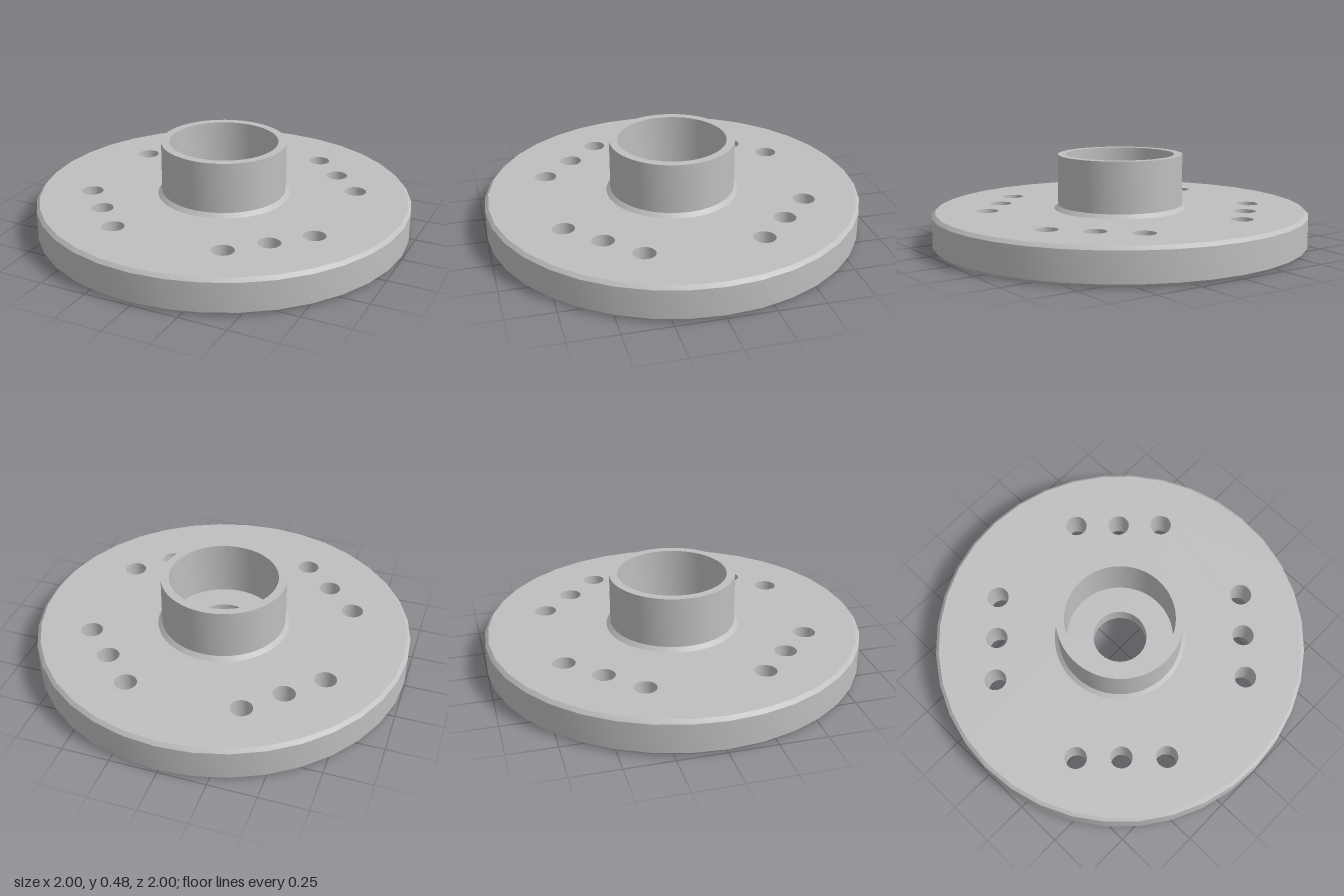
import * as THREE from 'three';
import { toCreasedNormals } from 'three/addons/utils/BufferGeometryUtils.js';

const R = 1, CHAMFER = 0.018, PLATE_TOP = 0.19, WEB_BOTTOM = 0.095;
const HUB_R = 0.332, HUB_TOP = 0.48, BORE_R = 0.288, SHAFT_R = 0.144, FOOT_R = 0.353;
const HOLE_R = 0.058, PLATE_SIDES = 36, HUB_SIDES = 72, HOLE_SIDES = 32;

// Four groups of three bolt holes
const holes = [];
for (const sx of [-1, 1]) for (const sz of [-1, 1])
  for (const [x, z] of [[0.304, 0.64], [0.472, 0.472], [0.64, 0.304]]) holes.push([sx * x, sz * z]);

function circle(r, sides, cx = 0, cy = 0) {
  return Array.from({ length: sides }, (_, i) => {
    const a = (i / sides) * Math.PI * 2;
    return new THREE.Vector2(cx + r * Math.cos(a), cy + r * Math.sin(a));
  });
}

// Rising profiles face outward, falling profiles face inward
function lathe(profile, sides) {
  const points = profile.map(([r, y]) => new THREE.Vector2(r, y));
  return toCreasedNormals(new THREE.LatheGeometry(points, sides), 0.5);
}

// Flat plate face with a centre opening and the bolt holes
function face(innerR, y, up) {
  const shape = new THREE.Shape(circle(R - CHAMFER, PLATE_SIDES));
  shape.holes.push(new THREE.Path(circle(innerR, HUB_SIDES)));
  for (const [x, z] of holes) shape.holes.push(new THREE.Path(circle(HOLE_R, HOLE_SIDES, x, z)));
  return new THREE.ShapeGeometry(shape).rotateX(up ? -Math.PI / 2 : Math.PI / 2).translate(0, y, 0);
}

export function createModel() {
  const model = new THREE.Group();
  model.name = 'hubFlange';
  const steel = new THREE.MeshStandardMaterial({ color: 0xbfbfbf });
  steel.name = 'steelGrey';
  const add = (name, geometry, parent = model) => {
    const mesh = new THREE.Mesh(geometry, steel);
    mesh.name = name;
    parent.add(mesh);
    return mesh;
  };

  // Plate with chamfered rim
  add('plateRim', lathe([
    [R - CHAMFER, 0], [R, CHAMFER], [R, PLATE_TOP - CHAMFER], [R - CHAMFER, PLATE_TOP],
  ], PLATE_SIDES));
  add('plateTop', face(FOOT_R, PLATE_TOP, true));
  add('plateBottom', face(BORE_R, 0, false));

  // Hub: sloped foot, outer wall, lip, bore, shaft hole and underside recess
  add('hub', lathe([
    [FOOT_R, PLATE_TOP], [HUB_R, PLATE_TOP + 0.021], [HUB_R, HUB_TOP], [BORE_R, HUB_TOP],
    [BORE_R, PLATE_TOP], [SHAFT_R, PLATE_TOP], [SHAFT_R, WEB_BOTTOM],
    [BORE_R, WEB_BOTTOM], [BORE_R, 0],
  ], HUB_SIDES));

  // Bolt hole walls
  const boltHoles = new THREE.Group();
  boltHoles.name = 'boltHoles';
  model.add(boltHoles);
  const wall = lathe([[HOLE_R, PLATE_TOP], [HOLE_R, 0]], HOLE_SIDES);
  for (const [x, z] of holes) add('boltHole', wall, boltHoles).position.set(x, 0, z);

  return model;
}
